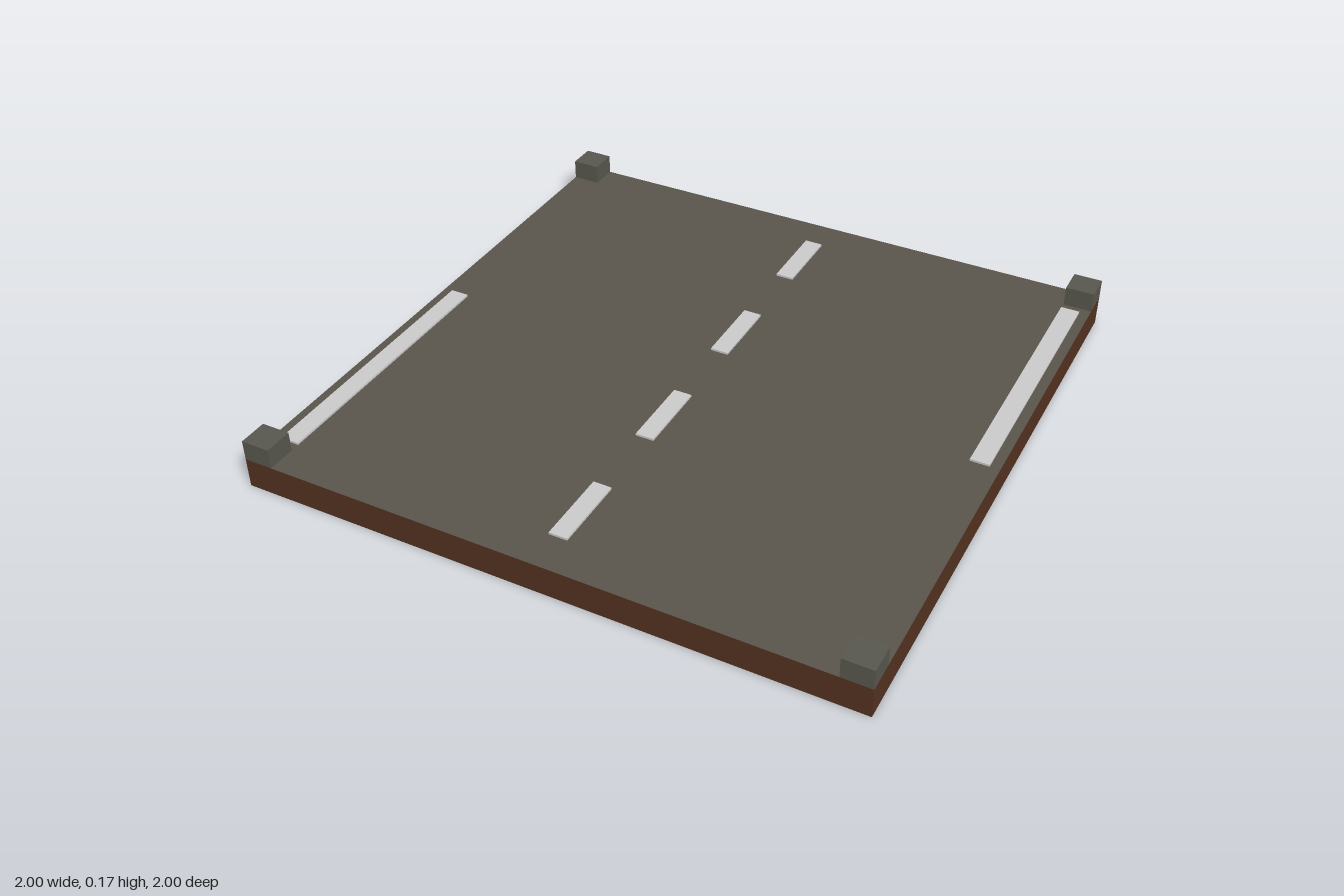
import * as THREE from 'three';

export function createModel() {
  const model = new THREE.Group();
  model.name = 'roadTile';

  const material = (name, color) => {
    const m = new THREE.MeshStandardMaterial({ color });
    m.name = name;
    return m;
  };
  const earth = material('brown earth', 0x553322);
  const asphalt = material('grey asphalt', 0x5a564c);
  const stone = material('grey stone', 0x59584f);
  const paint = material('white paint', 0xcccccc);

  // Box resting on height y
  const addBox = (name, mat, w, h, d, x, y, z) => {
    const mesh = new THREE.Mesh(new THREE.BoxGeometry(w, h, d), mat);
    mesh.name = name;
    mesh.position.set(x, y + h / 2, z);
    model.add(mesh);
  };

  // Earth slab with an asphalt top face
  const top = 0.1;
  addBox('roadSlab', [earth, earth, asphalt, earth, earth, earth], 2, top, 2, 0, 0, 0);

  // Corner blocks
  const block = 0.095;
  for (const sx of [-1, 1]) {
    for (const sz of [-1, 1]) {
      addBox('cornerBlock', stone, block, 0.067, block,
        sx * (1 - block / 2), top, sz * (1 - block / 2));
    }
  }

  // Dashed centre line
  for (const z of [-0.75, -0.25, 0.25, 0.75]) {
    addBox('centreDash', paint, 0.06, 0.007, 0.248, 0, top, z);
  }

  // Edge lines, staggered along the two sides
  for (const s of [-1, 1]) {
    addBox('edgeLine', paint, 0.062, 0.007, 0.905, s * 0.936, top, -s * 0.423);
  }

  return model;
}
